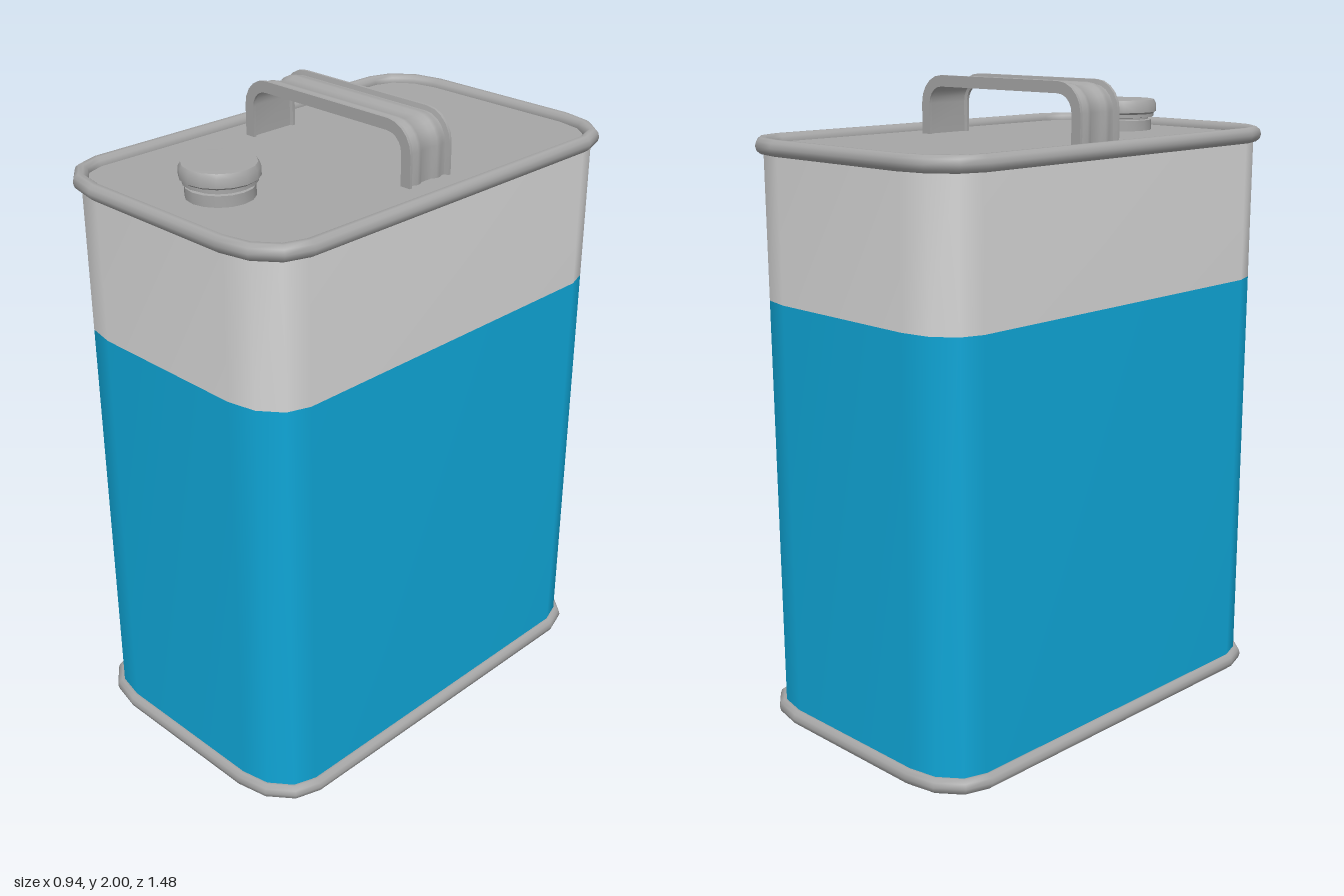
import * as THREE from 'three';
import { toCreasedNormals } from 'three/addons/utils/BufferGeometryUtils.js';

const HX = 0.445, HZ = 0.715, RX = 0.18, RZ = 0.14, STEPS = 3;

// Rounded-rectangle outline in [x, z], grown by d
function outline(d = 0) {
  const pts = [];
  for (let q = 0; q < 4; q++) {
    const sx = q === 0 || q === 3 ? 1 : -1, sz = q < 2 ? 1 : -1;
    for (let k = 0; k <= STEPS; k++) {
      const t = (q + k / STEPS) * Math.PI / 2;
      pts.push([sx * (HX - RX) + Math.cos(t) * (RX + d), sz * (HZ - RZ) + Math.sin(t) * (RZ + d)]);
    }
  }
  return pts;
}

// Skin over closed rings of [x, y, z]; wrap joins the last ring to the first
function loft(rings, wrap = false) {
  const n = rings[0].length, m = rings.length, index = [];
  for (let i = 0; i < (wrap ? m : m - 1); i++) {
    for (let j = 0; j < n; j++) {
      const k = (j + 1) % n, r = ((i + 1) % m) * n;
      const a = i * n + j, b = i * n + k, c = r + k, d = r + j;
      index.push(a, d, b, b, d, c);
    }
  }
  const geo = new THREE.BufferGeometry();
  geo.setAttribute('position', new THREE.Float32BufferAttribute(rings.flat(2), 3));
  geo.setIndex(index);
  geo.computeVertexNormals();
  return geo;
}

const ringAt = (y, d = 0) => outline(d).map(([x, z]) => [x, y, z]);

// Rolled seam around the can
function rimGeometry(y) {
  const rings = [];
  for (let i = 0; i < 10; i++) {
    const p = i / 10 * Math.PI * 2;
    rings.push(ringAt(y + 0.025 * Math.sin(p), 0.001 + 0.023 * Math.cos(p)));
  }
  return loft(rings, true);
}

function plateGeometry(y, up) {
  const shape = new THREE.Shape(outline().map(([x, z]) => new THREE.Vector2(x, z)));
  return new THREE.ShapeGeometry(shape).rotateX(up ? -Math.PI / 2 : Math.PI / 2).translate(0, y, 0);
}

// Flanged, ribbed strap swept over a rounded arch
function handleGeometry() {
  const W = 0.34, H = 2, R = 0.09, base = 1.81;
  // [inset from the outer edge, z]
  const outer = [[0, -0.086], [0, -0.077], [0.014, -0.073], [0.014, -0.062], [0.007, -0.046],
    [0.008, -0.034], [0.016, -0.02], [0.016, 0.02], [0.008, 0.034], [0.007, 0.046],
    [0.014, 0.062], [0.014, 0.073], [0, 0.077], [0, 0.086]];
  const inner = [[0.035, 0.086], [0.035, 0.077], [0.026, 0.073], [0.026, -0.073], [0.035, -0.077], [0.035, -0.086]];
  const profile = [...outer, ...inner];
  const rings = [profile.map(([o, z]) => [W - o, base, z])];
  for (const s of [1, -1]) {
    for (let k = 0; k <= 5; k++) {
      const t = (s > 0 ? k : 5 - k) / 5 * Math.PI / 2;
      rings.push(profile.map(([o, z]) =>
        [s * (W - R + Math.cos(t) * (R - o)), H - R + Math.sin(t) * (R - o), z]));
    }
  }
  rings.push(profile.map(([o, z]) => [-(W - o), base, z]));
  return toCreasedNormals(loft(rings), 0.65);
}

export function createModel() {
  const group = new THREE.Group();
  const material = (name, color) => {
    const m = new THREE.MeshStandardMaterial({ color });
    m.name = name;
    return m;
  };
  const metal = material('grey metal', 0xa6a6a6);
  const white = material('pale grey paint', 0xd6d6d6);
  const blue = material('blue paint', 0x0fa6d7);
  const add = (name, geo, mat) => {
    const mesh = new THREE.Mesh(geo, mat);
    mesh.name = name;
    group.add(mesh);
    return mesh;
  };

  // Can body
  add('lowerBody', loft([ringAt(0.02), ringAt(1.355)]), blue);
  add('upperBody', loft([ringAt(1.355), ringAt(1.815)]), white);
  add('topPlate', plateGeometry(1.815, true), metal);
  add('bottomPlate', plateGeometry(0.02, false), metal);
  add('bottomRim', rimGeometry(0.025), metal);
  add('topRim', rimGeometry(1.815), metal);

  // Carrying handle
  add('handle', handleGeometry(), metal);

  // Screw cap on its neck
  const cap = [[0.1, 1.81], [0.1, 1.848], [0.09, 1.85], [0.09, 1.856], [0.107, 1.858], [0.107, 1.868],
    [0.115, 1.874], [0.115, 1.9], [0.107, 1.913], [0, 1.915]].map(([r, y]) => new THREE.Vector2(r, y));
  add('cap', toCreasedNormals(new THREE.LatheGeometry(cap, 16), 0.7), metal).position.z = 0.486;

  return group;
}
